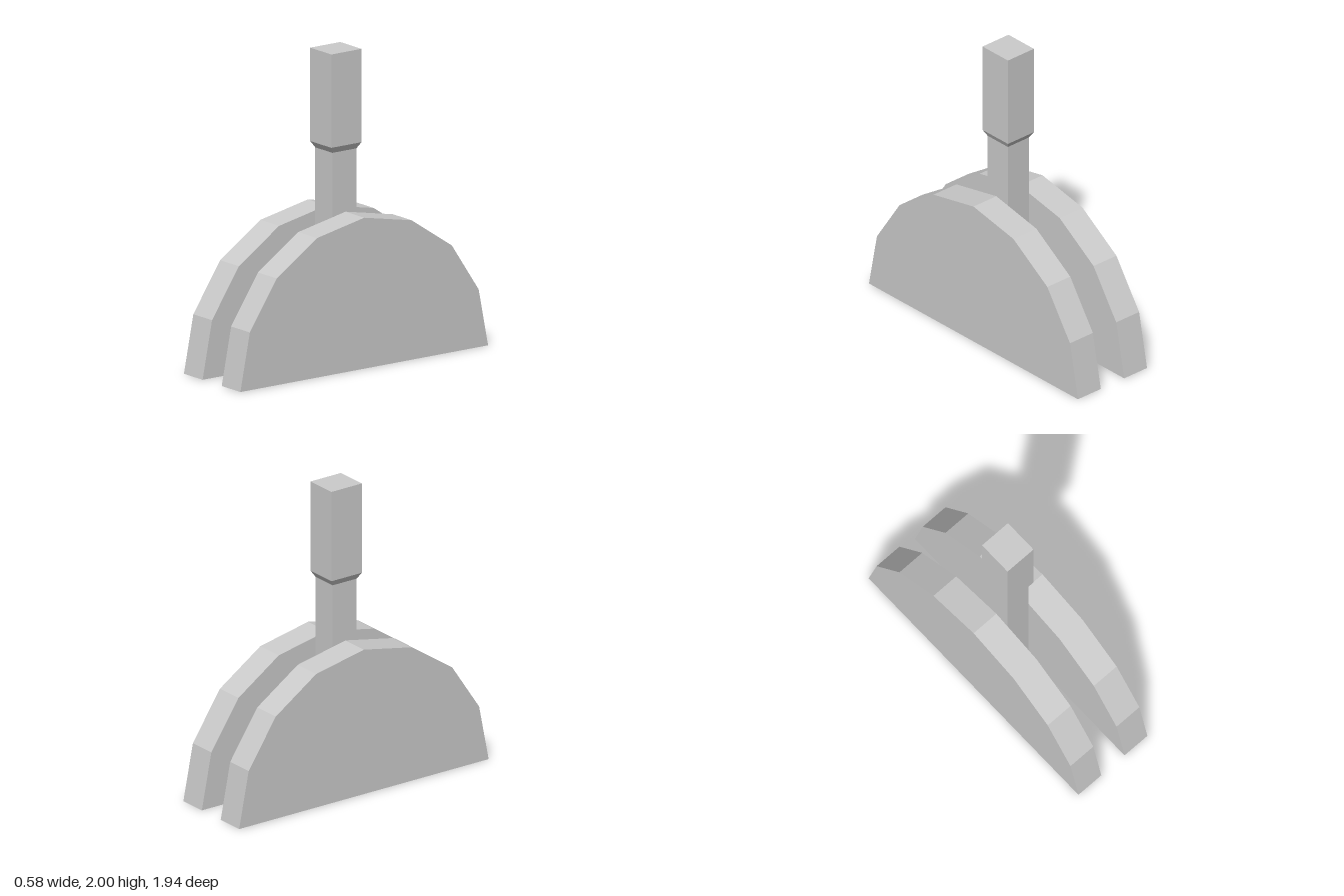
import * as THREE from 'three';

const material = new THREE.MeshStandardMaterial({ color: 0xcccccc, flatShading: true });

// Half disc standing on its flat edge, with its thickness along x
function halfDisc(radius, thickness, sides) {
  const points = [];
  for (let i = 0; i <= sides; i++) {
    const a = (i / sides) * Math.PI;
    points.push(new THREE.Vector2(radius * Math.cos(a), radius * Math.sin(a)));
  }
  const geometry = new THREE.ExtrudeGeometry(new THREE.Shape(points), { depth: thickness, bevelEnabled: false });
  geometry.translate(0, 0, -thickness / 2);
  geometry.rotateY(-Math.PI / 2);
  return geometry;
}

// Square bar whose box rows are moved to the given [y, half width, half depth] levels
function steppedBar(levels) {
  const rows = levels.length - 1;
  const geometry = new THREE.BoxGeometry(2, rows, 2, 1, rows, 1);
  const pos = geometry.attributes.position;
  for (let i = 0; i < pos.count; i++) {
    const [y, w, d] = levels[Math.round(pos.getY(i) + rows / 2)];
    pos.setXYZ(i, pos.getX(i) * w, y, pos.getZ(i) * d);
  }
  const flat = geometry.toNonIndexed();
  flat.computeVertexNormals();
  return flat;
}

export function createModel() {
  const group = new THREE.Group();

  // Pair of side plates with a slot between them
  const plate = halfDisc(0.97, 0.192, 8);
  for (const [name, side] of [['leftPlate', 1], ['rightPlate', -1]]) {
    const mesh = new THREE.Mesh(plate, material);
    mesh.name = name;
    mesh.position.x = side * 0.194;
    group.add(mesh);
  }

  // Lever: slim shaft flaring into a thicker grip
  const lever = new THREE.Mesh(steppedBar([
    [0, 0.088, 0.094],
    [1.36, 0.088, 0.094],
    [1.4, 0.109, 0.118],
    [2, 0.109, 0.118],
  ]), material);
  lever.name = 'lever';
  lever.position.x = -0.002;
  group.add(lever);

  return group;
}
